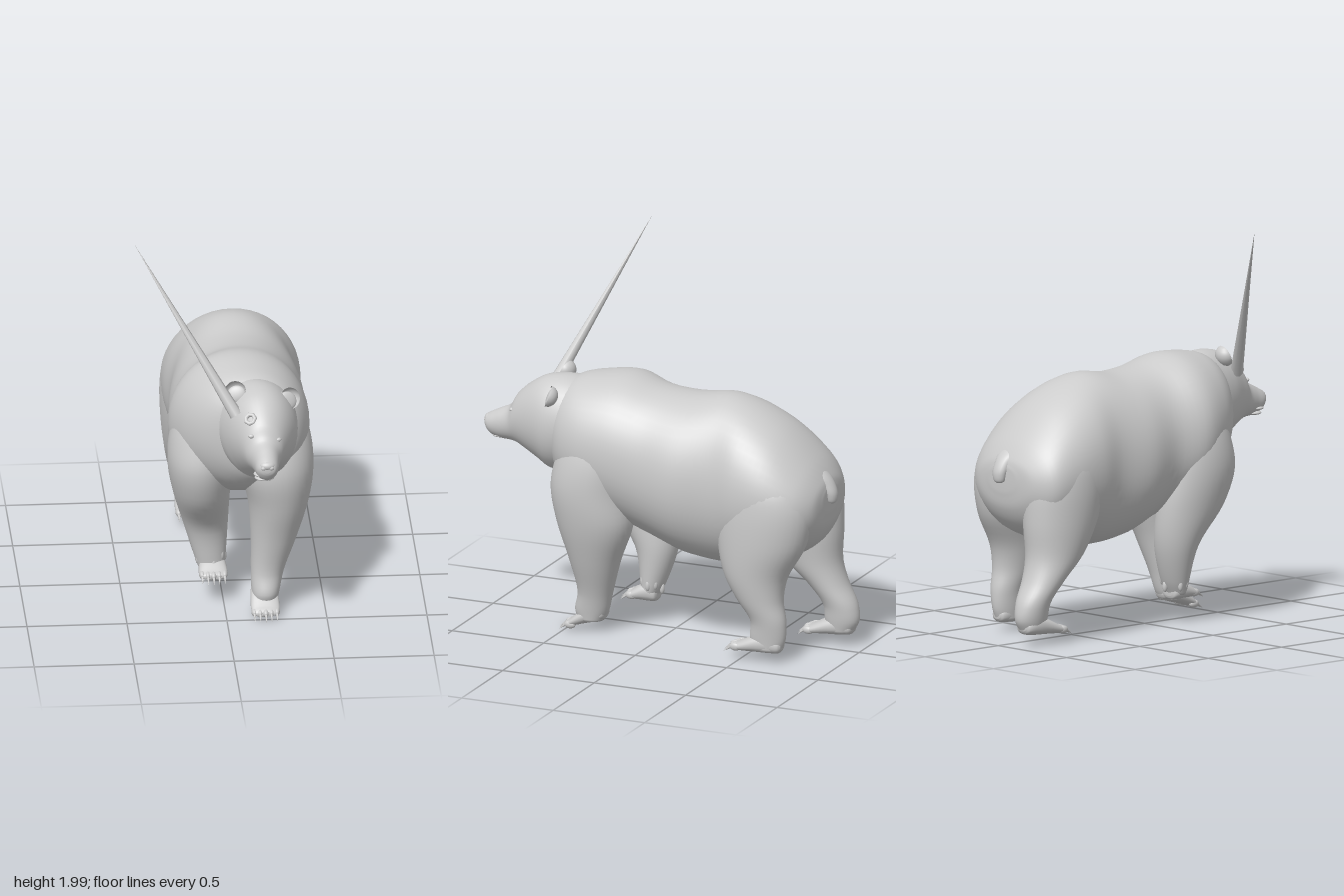
import * as THREE from 'three';

const grey = new THREE.MeshStandardMaterial({ color: 0xcccccc, side: THREE.DoubleSide });

// Smooth skin over oval rings [t, aMin, aMax, bMin, bMax], listed by rising t.
// axis 'z': a = x, b = y.  axis 'y': a = x, b = z.
function loft(name, axis, rings, { steps = 5, sides = 36, power = 1 } = {}) {
  const spline = (k) => new THREE.CatmullRomCurve3(
    rings.map((r) => new THREE.Vector3(r[0], r[k], r[k + 1])), false, 'centripetal');
  const n = (rings.length - 1) * steps;
  const aCurve = spline(1), bCurve = spline(3);
  const pos = [], idx = [];
  const put = (t, a, b) => (axis === 'z' ? pos.push(a, b, t) : pos.push(a, t, b));
  for (let i = 0; i <= n; i++) {
    const p = aCurve.getPoint(i / n), q = bCurve.getPoint(i / n);
    const t = (p.x + q.x) / 2;
    for (let j = 0; j < sides; j++) {
      const u = (j / sides) * Math.PI * 2;
      const c = Math.sign(Math.cos(u)) * Math.abs(Math.cos(u)) ** power;
      const s = Math.sign(Math.sin(u)) * Math.abs(Math.sin(u)) ** power * (axis === 'z' ? 1 : -1);
      put(t, (p.y + p.z) / 2 + c * (p.z - p.y) / 2, (q.y + q.z) / 2 + s * (q.z - q.y) / 2);
    }
  }
  for (let i = 0; i < n; i++) for (let j = 0; j < sides; j++) {
    const k = (j + 1) % sides, a = i * sides + j, b = i * sides + k;
    idx.push(a, b, a + sides, b, b + sides, a + sides);
  }
  // closed ends
  for (const [r, row, flip] of [[rings[0], 0, true], [rings.at(-1), n * sides, false]]) {
    const pole = pos.length / 3;
    put(r[0], (r[1] + r[2]) / 2, (r[3] + r[4]) / 2);
    for (let j = 0; j < sides; j++) {
      const a = row + j, b = row + (j + 1) % sides;
      idx.push(...(flip ? [b, a, pole] : [a, b, pole]));
    }
  }
  const g = new THREE.BufferGeometry();
  g.setAttribute('position', new THREE.Float32BufferAttribute(pos, 3));
  g.setIndex(idx);
  g.computeVertexNormals();
  const mesh = new THREE.Mesh(g, grey);
  mesh.name = name;
  return mesh;
}

function blob(name, [x, y, z], [rx, ry, rz]) {
  const m = new THREE.Mesh(new THREE.SphereGeometry(1, 20, 14), grey);
  m.name = name;
  m.position.set(x, y, z);
  m.scale.set(rx, ry, rz);
  return m;
}

// Cone running from a wide base to a sharp tip
function spike(name, from, to, radius, sides) {
  const a = new THREE.Vector3(...from), d = new THREE.Vector3(...to).sub(a);
  const g = new THREE.ConeGeometry(radius, d.length(), sides, 1);
  g.translate(0, d.length() / 2, 0);
  const m = new THREE.Mesh(g, grey);
  m.name = name;
  m.position.copy(a);
  m.quaternion.setFromUnitVectors(new THREE.Vector3(0, 1, 0), d.normalize());
  return m;
}

// Paw with toes and claws; heelY lifts the sole at the back
function paw(name, x, w, heelZ, toeZ, toeY, heelY, h) {
  const g = new THREE.Group();
  g.name = name;
  const rows = [[0, 0.4, 0.3, 0.8], [0.05, 0.7, 0.08, 1], [0.25, 0.92, 0, 1.35],
    [0.5, 1, 0, 1.15], [0.85, 1, 0, 0.6], [0.97, 0.8, 0.05, 0.45], [1, 0.5, 0.12, 0.3]];
  g.add(loft('sole', 'z', rows.map(([t, s, lo, hi]) => {
    const y = heelY + (toeY - heelY) * t;
    return [heelZ + (toeZ - heelZ) * t, x - w * s / 2, x + w * s / 2, y + lo * h, y + hi * h];
  }), { sides: 24, power: 0.85 }));
  for (let i = -2; i <= 2; i++) {
    const tx = x + i * w * 0.2, tz = toeZ - 0.016 - Math.abs(i) * 0.008;
    g.add(blob('toe', [tx, toeY + 0.022, tz], [w * 0.11, 0.02, 0.03]));
    g.add(spike('claw', [tx, toeY + 0.022, tz + 0.02], [tx, toeY - 0.008, tz + 0.062], 0.008, 8));
  }
  return g;
}

export function createModel() {
  const bear = new THREE.Group();
  bear.name = 'hornedBear';

  bear.add(loft('body', 'z', [
    [-0.89, 0, 0.18, 0.77, 0.89],
    [-0.87, -0.12, 0.29, 0.67, 0.945],
    [-0.8, -0.22, 0.38, 0.57, 1.045],
    [-0.66, -0.25, 0.435, 0.5, 1.18],
    [-0.5, -0.25, 0.44, 0.46, 1.27],
    [-0.35, -0.225, 0.41, 0.44, 1.31],
    [-0.15, -0.245, 0.435, 0.465, 1.29],
    [0.03, -0.225, 0.42, 0.53, 1.305],
    [0.2, -0.275, 0.43, 0.59, 1.348],
    [0.36, -0.225, 0.42, 0.66, 1.338],
    [0.46, -0.155, 0.39, 0.72, 1.318],
    [0.52, -0.085, 0.35, 0.78, 1.28],
    [0.56, 0, 0.29, 0.84, 1.22],
    [0.59, 0.08, 0.23, 0.94, 1.12],
  ], { sides: 48, power: 0.96 }));

  // Head, turned a little to its left
  const head = new THREE.Group();
  head.name = 'head';
  bear.add(head);
  head.add(loft('skull', 'z', [
    [0.36, -0.12, 0.33, 0.93, 1.28],
    [0.44, -0.09, 0.35, 0.87, 1.305],
    [0.52, -0.05, 0.352, 0.825, 1.317],
    [0.59, -0.025, 0.345, 0.825, 1.312],
    [0.65, 0, 0.325, 0.86, 1.295],
    [0.72, 0.035, 0.295, 0.9, 1.25],
    [0.78, 0.065, 0.265, 0.93, 1.195],
    [0.82, 0.09, 0.245, 0.94, 1.13],
    [0.88, 0.108, 0.233, 0.945, 1.1],
    [0.93, 0.117, 0.223, 0.962, 1.075],
    [0.952, 0.13, 0.21, 0.99, 1.06],
    [0.96, 0.155, 0.185, 1.01, 1.04],
  ], { sides: 40 }));
  head.add(blob('nose', [0.17, 1.043, 0.937], [0.04, 0.024, 0.028]));
  for (const s of [-1, 1]) {
    head.add(blob('nostril', [0.17 + s * 0.02, 1.035, 0.954], [0.013, 0.011, 0.01]));
    head.add(blob('eye', [0.168 + s * 0.067, 1.13 - s * 0.011, 0.791], [0.016, 0.011, 0.012]));
  }
  head.add(blob('upperLip', [0.16, 0.982, 0.895], [0.056, 0.013, 0.045]));
  head.add(blob('lowerLip', [0.16, 0.958, 0.885], [0.05, 0.012, 0.042]));

  // Cupped ears
  for (const [x, y, z, tilt] of [[0.035, 1.295, 0.585, 0.3], [0.312, 1.24, 0.56, -0.65]]) {
    const ear = new THREE.Group();
    ear.name = 'ear';
    ear.position.set(x, y, z);
    ear.rotation.set(-0.4, tilt * -0.6, tilt);
    const cup = new THREE.Mesh(new THREE.SphereGeometry(1, 20, 10, Math.PI, Math.PI), grey);
    cup.name = 'earCup';
    cup.scale.set(0.055, 0.053, 0.05);
    const hollow = blob('earHollow', [0, -0.012, -0.01], [0.048, 0.042, 0.014]);
    ear.add(cup, hollow);
    head.add(ear);
  }

  // Long horn and the small crater beside it
  head.add(spike('horn', [0.035, 1.2, 0.66], [-0.45, 2, 0.33], 0.033, 7));
  const crater = new THREE.Mesh(new THREE.TorusGeometry(0.024, 0.011, 8, 7), grey);
  crater.name = 'foreheadCrater';
  crater.position.set(0.1, 1.212, 0.74);
  crater.rotation.set(-0.7, -0.35, 0);
  head.add(crater);

  // Legs: rings rise from the ankle and fade into the body
  bear.add(loft('leftFrontLeg', 'y', [
    [0.07, 0.14, 0.262, 0.305, 0.44],
    [0.12, 0.132, 0.272, 0.28, 0.455],
    [0.22, 0.13, 0.295, 0.255, 0.435],
    [0.4, 0.13, 0.36, 0.2, 0.465],
    [0.6, 0.115, 0.42, 0.125, 0.52],
    [0.78, 0.07, 0.443, 0.13, 0.553],
    [0.92, 0.07, 0.435, 0.12, 0.53],
    [1.05, 0.08, 0.4, 0.12, 0.48],
    [1.16, 0.1, 0.345, 0.14, 0.42],
    [1.25, 0.15, 0.27, 0.2, 0.35],
  ], { power: 0.95 }));
  bear.add(paw('leftFrontPaw', 0.195, 0.14, 0.29, 0.5, 0.018, 0.075, 0.075));

  bear.add(loft('rightFrontLeg', 'y', [
    [0.15, -0.115, 0.01, 0.12, 0.21],
    [0.22, -0.14, 0.018, 0.085, 0.215],
    [0.4, -0.195, 0.03, 0.03, 0.25],
    [0.6, -0.25, 0.035, 0.02, 0.4],
    [0.78, -0.28, 0.05, 0.04, 0.46],
    [0.92, -0.272, 0.06, 0.06, 0.44],
    [1.05, -0.235, 0.05, 0.08, 0.4],
    [1.16, -0.18, 0.03, 0.11, 0.36],
    [1.25, -0.1, 0.0, 0.17, 0.3],
  ]));
  bear.add(paw('rightFrontPaw', -0.05, 0.14, 0.115, 0.275, 0.13, 0.12, 0.075));
  // Ragged band of skin round the right wrist
  for (let i = 0; i < 9; i++) {
    const a = (i / 9) * Math.PI * 2;
    bear.add(blob('wristTuft', [-0.058 + 0.068 * Math.cos(a), 0.215 + 0.025 * Math.sin(i * 2.4),
      0.15 + 0.054 * Math.sin(a)], [0.013, 0.03, 0.013]));
  }

  bear.add(loft('leftHindLeg', 'y', [
    [0.07, 0.258, 0.362, -0.715, -0.56],
    [0.13, 0.25, 0.37, -0.735, -0.545],
    [0.22, 0.24, 0.385, -0.738, -0.55],
    [0.33, 0.21, 0.41, -0.72, -0.475],
    [0.45, 0.17, 0.43, -0.74, -0.405],
    [0.62, 0.12, 0.447, -0.83, -0.365],
    [0.8, 0.1, 0.447, -0.86, -0.36],
    [0.92, 0.12, 0.427, -0.82, -0.38],
    [1.01, 0.15, 0.375, -0.74, -0.43],
    [1.07, 0.2, 0.3, -0.65, -0.52],
  ]));
  bear.add(paw('leftHindPaw', 0.31, 0.12, -0.72, -0.45, 0.055, 0.055, 0.075));

  bear.add(loft('rightHindLeg', 'y', [
    [0.08, -0.15, -0.04, -0.925, -0.79],
    [0.14, -0.168, -0.027, -0.955, -0.775],
    [0.22, -0.185, -0.015, -0.945, -0.765],
    [0.33, -0.21, 0.01, -0.89, -0.68],
    [0.45, -0.23, 0.04, -0.86, -0.55],
    [0.62, -0.25, 0.07, -0.868, -0.45],
    [0.8, -0.257, 0.08, -0.86, -0.4],
    [0.92, -0.242, 0.07, -0.82, -0.4],
    [1.01, -0.19, 0.04, -0.74, -0.44],
    [1.07, -0.11, -0.01, -0.65, -0.52],
  ]));
  bear.add(paw('rightHindPaw', -0.1, 0.14, -0.93, -0.67, 0.055, 0.065, 0.075));

  // Stubby tail growing out of the rump
  bear.add(loft('tail', 'y', [
    [0.81, 0.085, 0.115, -0.91, -0.89],
    [0.82, 0.07, 0.13, -0.922, -0.875],
    [0.86, 0.06, 0.142, -0.926, -0.86],
    [0.91, 0.05, 0.15, -0.908, -0.82],
    [0.95, 0.04, 0.16, -0.878, -0.78],
    [0.99, 0.07, 0.135, -0.83, -0.74],
  ], { sides: 20 }));

  return bear;
}
